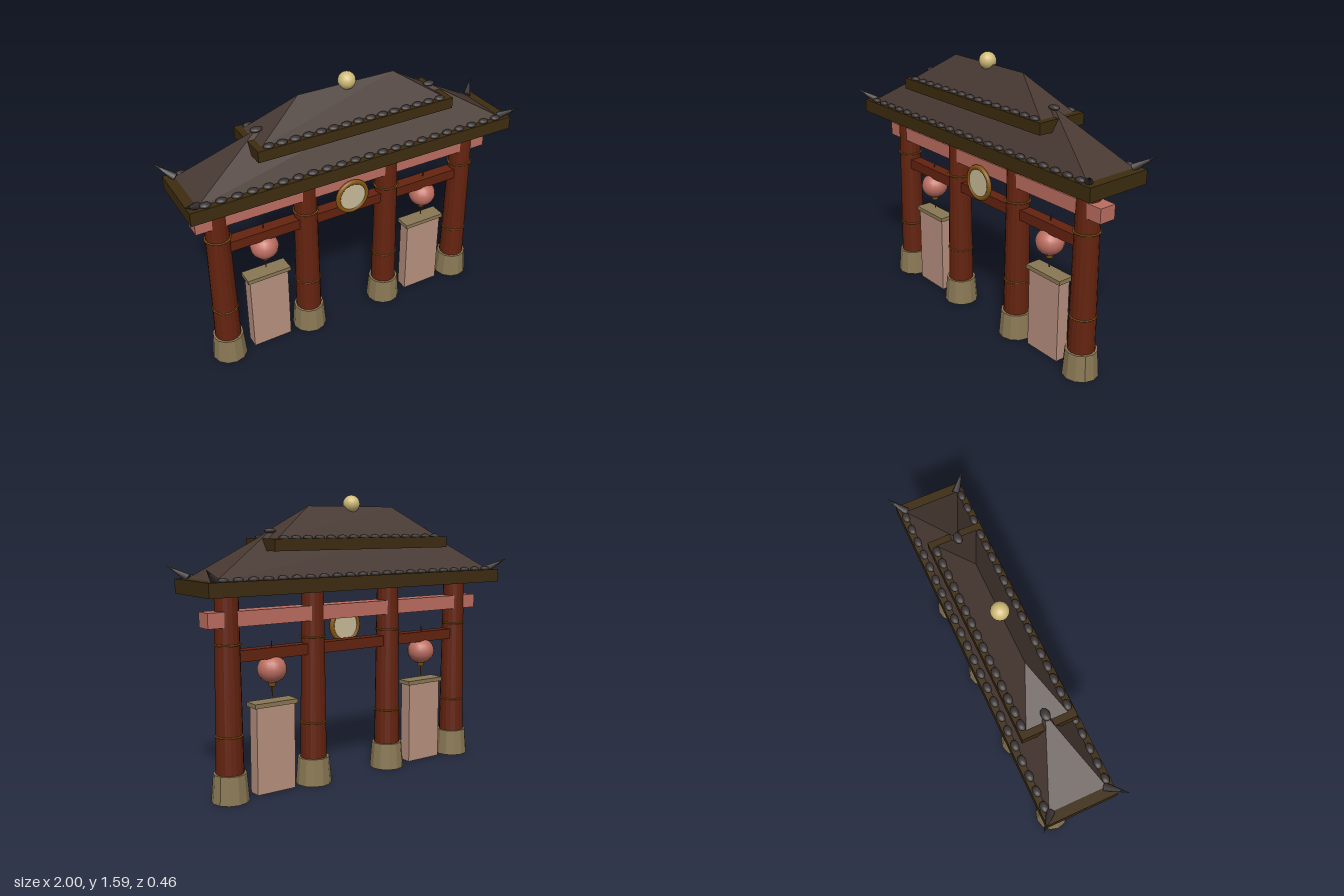
import * as THREE from 'three';

const mat = (name, color, flat = false) => {
  const m = new THREE.MeshStandardMaterial({ color, flatShading: flat });
  m.name = name;
  return m;
};

export function createModel() {
  const root = new THREE.Group();
  root.name = 'gateway';

  const stone = mat('stone', 0x8a7855, true);
  const redWood = mat('redWood', 0x64230f, true);
  const coral = mat('coral', 0xbd6e61);
  const bronze = mat('bronze', 0x85560f);
  const cream = mat('cream', 0xcabc9a);
  const paleGold = mat('paleGold', 0xd0bb78);
  const eaveWood = mat('eaveWood', 0x3d2c10);
  const roofTile = mat('roofTile', 0x483932, true);
  const darkTile = mat('darkTile', 0x3c3535);
  const cloth = mat('cloth', 0xb8917f);

  const add = (name, geo, material, x = 0, y = 0, z = 0, parent = root) => {
    const m = new THREE.Mesh(geo, material);
    m.name = name;
    m.position.set(x, y, z);
    parent.add(m);
    return m;
  };
  const box = (w, h, d) => new THREE.BoxGeometry(w, h, d);
  const ellipsoid = (rx, ry, rz, ws = 16, hs = 12) =>
    new THREE.SphereGeometry(1, ws, hs).scale(rx, ry, rz);

  // Hipped roof: a box whose top face is pinched into a ridge
  const hipRoof = (halfX, halfZ, ridgeX, height) => {
    const g = box(2, height, 2).translate(0, height / 2, 0);
    const p = g.attributes.position;
    for (let i = 0; i < p.count; i++) {
      const top = p.getY(i) > height / 2;
      p.setX(i, p.getX(i) * (top ? ridgeX : halfX));
      p.setZ(i, top ? 0 : p.getZ(i) * halfZ);
    }
    g.computeVertexNormals();
    return g;
  };

  // Four pillars with stone footings and bronze bands
  const footingGeo = new THREE.CylinderGeometry(0.088, 0.1, 0.15, 12);
  const pillarGeo = new THREE.CylinderGeometry(0.062, 0.076, 1.07, 16);
  for (const x of [-0.78, -0.26, 0.26, 0.78]) {
    const pillar = new THREE.Group();
    pillar.name = 'pillar';
    pillar.position.x = x;
    root.add(pillar);
    add('footing', footingGeo, stone, 0, 0.075, 0, pillar);
    add('shaft', pillarGeo, redWood, 0, 0.545, 0, pillar);
    for (const [y, r] of [[0.35, 0.071], [0.825, 0.069], [1.074, 0.063]]) {
      const band = new THREE.TorusGeometry(r, 0.005, 6, 24).rotateX(Math.PI / 2);
      add('band', band, bronze, 0, y, 0, pillar);
    }
  }

  // Cross beams
  add('upperBeam', box(1.82, 0.08, 0.1), coral, 0, 0.955, 0);
  add('lowerBeam', box(1.48, 0.06, 0.07), redWood, 0, 0.76, 0);

  // Round plaque on the front
  add('plaqueRim', new THREE.TorusGeometry(0.09, 0.014, 10, 32), bronze, 0, 0.857, 0.062);
  add('plaqueDisc', new THREE.CylinderGeometry(0.086, 0.086, 0.016, 32).rotateX(Math.PI / 2),
    cream, 0, 0.857, 0.062);

  // Lanterns and banners between the outer pillars
  for (const x of [-0.52, 0.52]) {
    const lantern = new THREE.Group();
    lantern.name = 'lantern';
    lantern.position.x = x;
    root.add(lantern);
    add('cord', new THREE.CylinderGeometry(0.003, 0.003, 0.09, 6), darkTile, 0, 0.775, 0, lantern);
    add('globe', ellipsoid(0.08, 0.075, 0.08), coral, 0, 0.67, 0, lantern);
    add('cap', new THREE.CylinderGeometry(0.024, 0.018, 0.022, 10), bronze, 0, 0.588, 0, lantern);
    add('tassel', new THREE.CylinderGeometry(0.003, 0.003, 0.06, 6), bronze, 0, 0.55, 0, lantern);

    const banner = new THREE.Group();
    banner.name = 'banner';
    banner.position.x = x;
    root.add(banner);
    add('bannerCloth', box(0.234, 0.475, 0.075), cloth, 0, 0.2425, 0, banner);
    add('bannerRail', box(0.26, 0.024, 0.095), stone, 0, 0.488, 0, banner);
  }

  // Two roof tiers
  add('lowerEave', box(1.94, 0.075, 0.386), eaveWood, 0, 1.1175, 0);
  add('lowerRoof', hipRoof(0.925, 0.16, 0.52, 0.245), roofTile, 0, 1.15, 0);
  add('upperEave', box(1.16, 0.062, 0.296), eaveWood, 0, 1.325, 0);
  add('upperRoof', hipRoof(0.545, 0.112, 0.283, 0.17), roofTile, 0, 1.355, 0);

  // Rows of rounded eave tiles
  const tileGeo = ellipsoid(0.03, 0.015, 0.022, 10, 6);
  const tileRow = (name, count, halfX, y, z) => {
    for (const side of [-1, 1]) {
      for (let i = 0; i < count; i++) {
        add(name, tileGeo, darkTile, -halfX + (2 * halfX * i) / (count - 1), y, side * z);
      }
    }
  };
  tileRow('lowerEaveTile', 22, 0.88, 1.16, 0.166);
  tileRow('upperEaveTile', 15, 0.51, 1.358, 0.122);

  // Upturned corner horns and ridge-end knobs
  const hornGeo = new THREE.ConeGeometry(0.022, 0.135, 8).translate(0, 0.0675, 0);
  const up = new THREE.Vector3(0, 1, 0);
  for (const sx of [-1, 1]) {
    for (const sz of [-1, 1]) {
      const horn = add('cornerHorn', hornGeo, darkTile, sx * 0.915, 1.157, sz * 0.148);
      const dir = new THREE.Vector3(sx * 0.085, 0.065, sz * 0.082).normalize();
      horn.quaternion.setFromUnitVectors(up, dir);
    }
    add('ridgeKnob', ellipsoid(0.034, 0.014, 0.024, 10, 8), darkTile, sx * 0.52, 1.395, 0);
  }

  // Ball on the crown of the roof
  add('crownBall', ellipsoid(0.048, 0.048, 0.048), paleGold, 0, 1.538, 0);

  return root;
}
